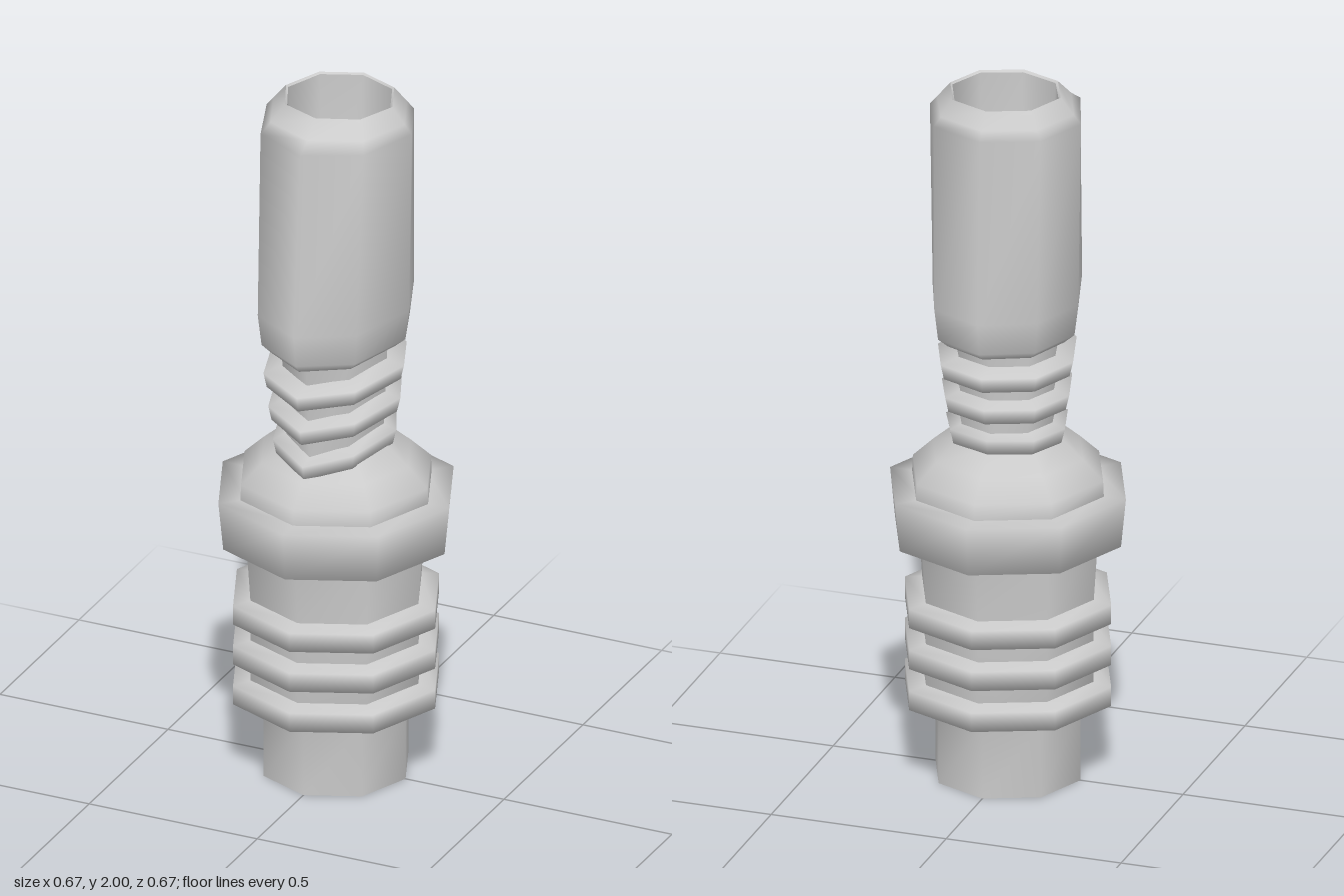
import * as THREE from 'three';

const SIDES = 8;

// Skins eight-sided rings listed from bottom to top (inner walls from top to bottom).
// Each ring is [y, halfWidth, front, back, drop]: front and back are distances from the
// axis along +z and -z, drop lowers the front corner into a chevron.
function loft(name, rings, material) {
  const pos = [], index = [];
  for (const [y, rx, front = rx, back = rx, drop = 0] of rings) {
    const mid = front === back ? 0 : -0.02 * Math.min(1, rx / 0.15);
    for (let i = 0; i < SIDES; i++) {
      const a = (i / SIDES) * Math.PI * 2;
      const c = Math.cos(a);
      const z = mid + c * (c > 0 ? front - mid : back + mid);
      pos.push(rx * Math.sin(a), y - drop * Math.max(0, c) ** 3, z);
    }
  }
  for (let r = 0; r < rings.length - 1; r++) {
    for (let i = 0; i < SIDES; i++) {
      const j = (i + 1) % SIDES;
      const a = r * SIDES + i, b = r * SIDES + j;
      index.push(a, b, b + SIDES, a, b + SIDES, a + SIDES);
    }
  }
  const geometry = new THREE.BufferGeometry();
  geometry.setAttribute('position', new THREE.Float32BufferAttribute(pos, 3));
  geometry.setIndex(index);
  geometry.computeVertexNormals();
  const mesh = new THREE.Mesh(geometry, material);
  mesh.name = name;
  return mesh;
}

export function createModel() {
  const group = new THREE.Group();
  group.name = 'mouthpiece';
  const material = new THREE.MeshStandardMaterial({ color: 0xcccccc, roughness: 0.6 });
  const add = (name, rings) => group.add(loft(name, rings, material));

  // Hollow plug at the bottom
  add('plugBore', [[0.3, 0.001], [0.25, 0.16], [0, 0.18]]);
  add('plugRim', [[0, 0.18], [0, 0.207]]);
  add('plugTube', [[0, 0.207], [0.21, 0.207], [0.23, 0.225]]);

  // Core with three sealing rings
  add('sealCore', [[0.23, 0.2], [0.23, 0.245], [0.53, 0.245], [0.71, 0.257]]);
  for (const [low, high] of [[0.23, 0.285], [0.35, 0.405], [0.47, 0.525]]) {
    add('sealRing', [
      [low - 0.005, 0.22], [low, 0.295], [high, 0.295], [high + 0.01, 0.24],
    ]);
  }

  // Wide collar and the shoulder tapering to the neck
  add('collar', [[0.7, 0.24], [0.7, 0.323], [0.84, 0.337], [0.84, 0.26]]);
  add('shoulder', [[0.84, 0.274], [0.885, 0.272], [0.94, 0.215], [1.0, 0.145], [1.03, 0.135]]);

  // Neck and its three fins, lowered to a point at the front
  add('neck', [[0.96, 0.13, 0.165, 0.14], [1.3, 0.145, 0.19, 0.155]]);
  const fins = [
    [0.99, 0.17, 0.212, 0.172, 0.045],
    [1.088, 0.182, 0.228, 0.195, 0.03],
    [1.188, 0.193, 0.248, 0.215, 0.02],
  ];
  for (const [y, rx, front, back, drop] of fins) {
    add('neckFin', [
      [y + 0.005, 0.125, 0.15, 0.13, drop],
      [y, rx - 0.01, front - 0.008, back - 0.008, drop],
      [y + 0.042, rx, front, back, drop],
      [y + 0.058, 0.125, 0.15, 0.13, drop],
    ]);
  }

  // Mouthpiece body, fuller at the front, with a bevelled top
  add('mouthBody', [
    [1.285, 0.13, 0.16, 0.14],
    [1.285, 0.168, 0.235, 0.205],
    [1.31, 0.197, 0.256, 0.234],
    [1.4, 0.208, 0.267, 0.246],
    [1.93, 0.216, 0.225, 0.229],
    [1.955, 0.195, 0.18, 0.21],
    [2.0, 0.158, 0.13, 0.177],
  ]);
  add('mouthRim', [[2.0, 0.158, 0.13, 0.177], [1.995, 0.152, 0.122, 0.172]]);
  add('mouthBore', [
    [1.995, 0.152, 0.122, 0.172], [1.4, 0.13, 0.11, 0.15], [1.3, 0.001, -0.019, 0.021],
  ]);
  return group;
}
